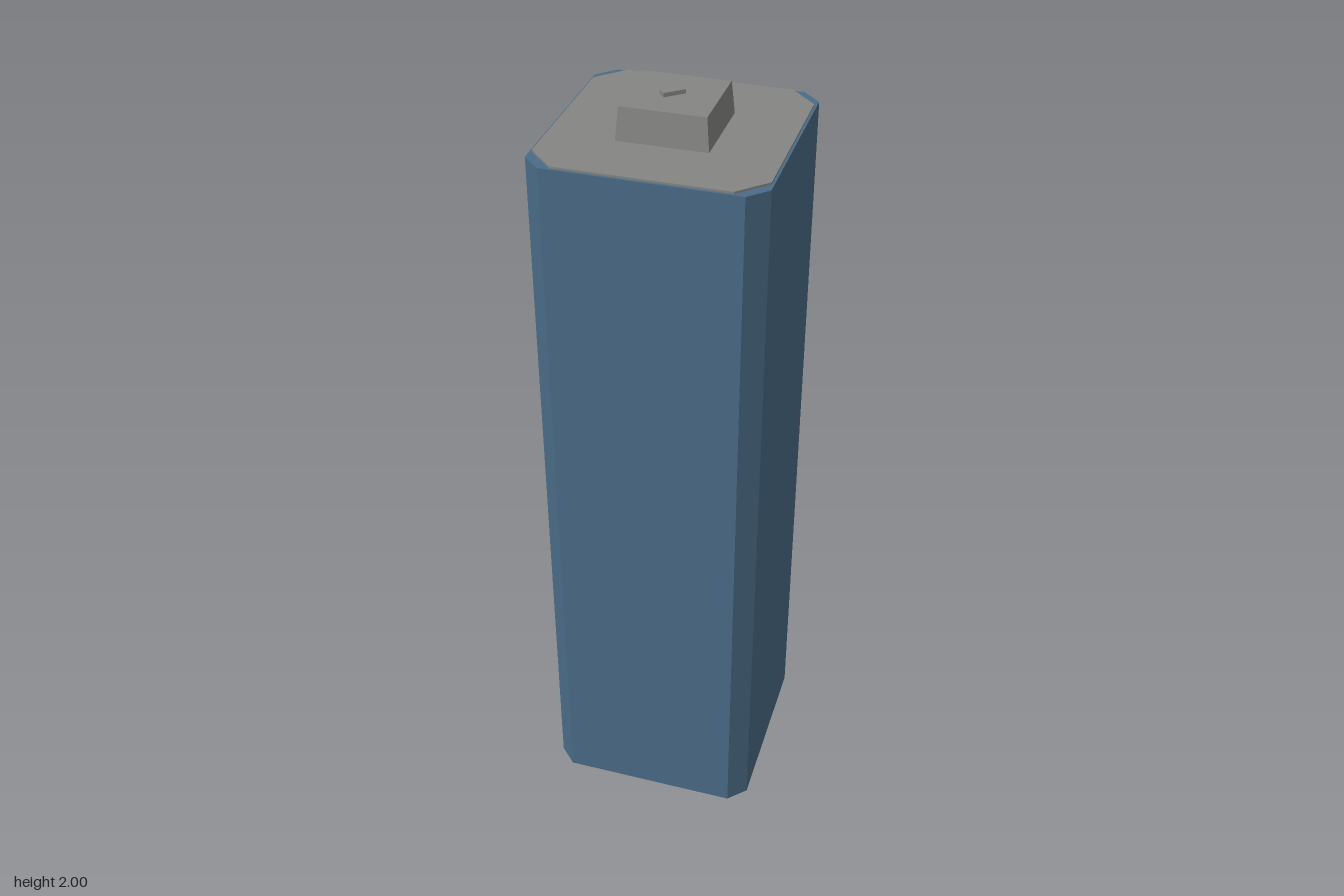
import * as THREE from 'three';

const blue = new THREE.MeshStandardMaterial({ color: 0x4a6b86 });
blue.name = 'blue casing';
const grey = new THREE.MeshStandardMaterial({ color: 0x858583 });
grey.name = 'grey metal';

// Upright prism with a square section whose corners are cut off
function prism(name, half, cut, y0, y1, material) {
  const s = half - cut;
  const points = [
    [half, -s], [half, s], [s, half], [-s, half],
    [-half, s], [-half, -s], [-s, -half], [s, -half],
  ].map(([x, y]) => new THREE.Vector2(x, y));
  const geometry = new THREE.ExtrudeGeometry(new THREE.Shape(points), {
    depth: y1 - y0, bevelEnabled: false,
  });
  geometry.rotateX(-Math.PI / 2);
  geometry.translate(0, y0, 0);
  const mesh = new THREE.Mesh(geometry, material);
  mesh.name = name;
  return mesh;
}

export function createModel() {
  const model = new THREE.Group();
  model.name = 'squareColumn';

  // Tall casing between two thin end plates
  model.add(prism('casing', 0.278, 0.045, 0.003, 1.905, blue));
  model.add(prism('topPlate', 0.272, 0.066, 1.905, 1.91, grey));
  model.add(prism('bottomPlate', 0.274, 0.045, 0, 0.003, grey));

  // Slightly tapered square terminal
  const terminalGeometry = new THREE.CylinderGeometry(
    0.102 * Math.SQRT2, 0.109 * Math.SQRT2, 0.08, 4, 1, false, Math.PI / 4,
  ).toNonIndexed();
  terminalGeometry.computeVertexNormals();
  const terminal = new THREE.Mesh(terminalGeometry, grey);
  terminal.name = 'terminal';
  terminal.position.set(-0.002, 1.95, 0.002);
  model.add(terminal);

  // Small raised contact in the middle of the terminal
  const contact = new THREE.Mesh(new THREE.BoxGeometry(0.055, 0.014, 0.022), grey);
  contact.name = 'contact';
  contact.position.set(-0.008, 1.993, 0.005);
  contact.rotation.y = 0.7;
  model.add(contact);

  return model;
}
